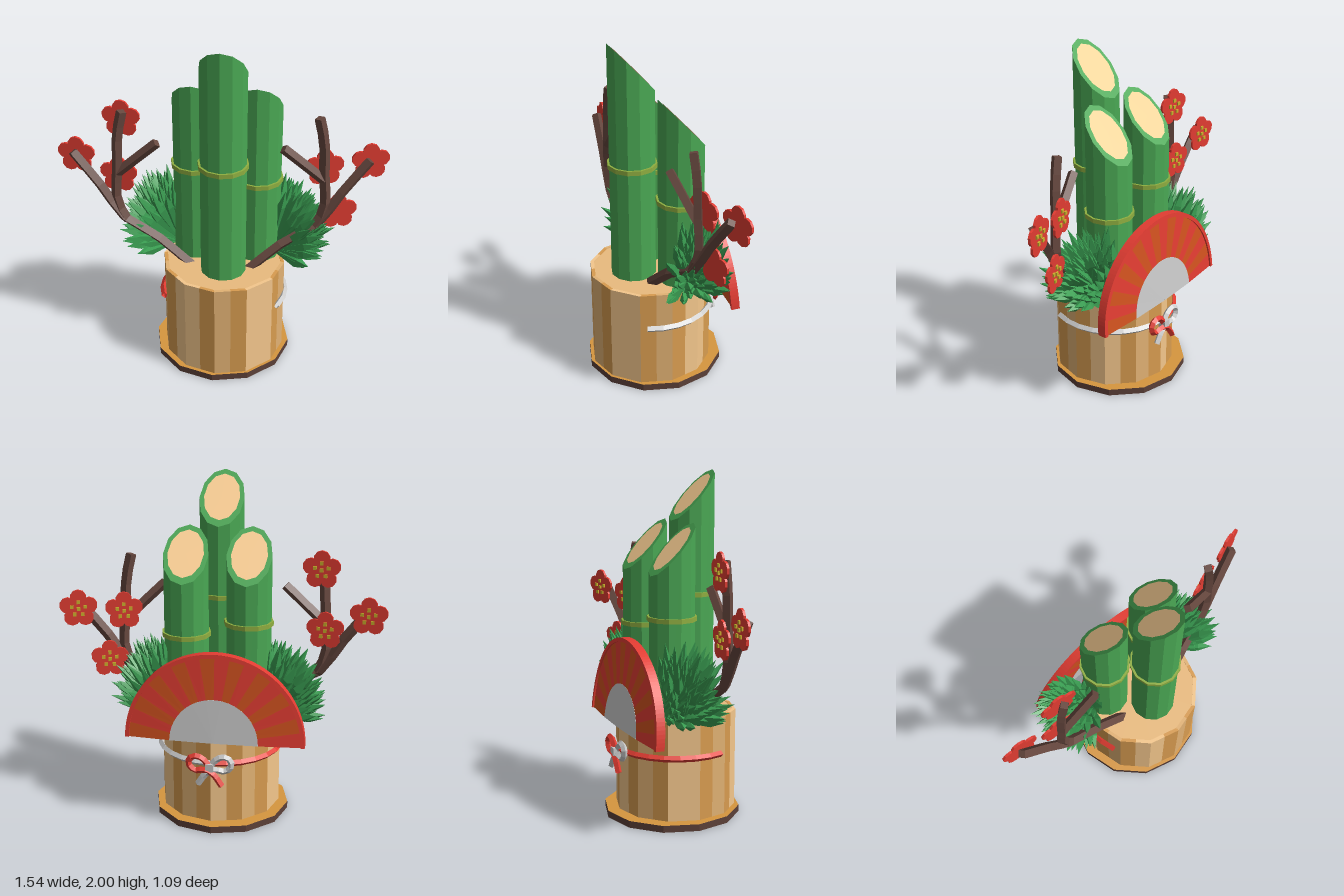
import * as THREE from 'three';
import { mergeGeometries } from 'three/addons/utils/BufferGeometryUtils.js';

const mat = (color) => new THREE.MeshStandardMaterial({ color, flatShading: true, side: THREE.DoubleSide });
const M = {
  bamboo: mat(0x4aa854), node: mat(0x8fae40), pith: mat(0xffd296), pine: mat(0x3a9e52),
  bark: mat(0x67483f), woodTop: mat(0xeabb7e), woodA: mat(0xf4c78c), woodB: mat(0xd89c50), woodC: mat(0xe2b274),
  baseTop: mat(0xd6963f), baseSide: mat(0x5c4038), red: mat(0xe23c32), orange: mat(0xd2521f),
  grey: mat(0xcccccc), gold: mat(0xccb02c),
};
const V = (x, y, z) => new THREE.Vector3(x, y, z);

function add(parent, name, geo, material, x = 0, y = 0, z = 0) {
  const m = new THREE.Mesh(geo, material);
  m.name = name;
  m.position.set(x, y, z);
  parent.add(m);
  return m;
}

function group(parent, name, x = 0, y = 0, z = 0) {
  const g = new THREE.Group();
  g.name = name;
  g.position.set(x, y, z);
  parent.add(g);
  return g;
}

// Move every vertex by a rule
function warp(geo, rule) {
  const p = geo.attributes.position, v = V(0, 0, 0);
  for (let i = 0; i < p.count; i++) {
    v.fromBufferAttribute(p, i);
    rule(v);
    p.setXYZ(i, v.x, v.y, v.z);
  }
  geo.computeVertexNormals();
  return geo;
}

const tube = (pts, r, segs) => new THREE.TubeGeometry(new THREE.CatmullRomCurve3(pts), segs, r, 4, false);

// Bucket of flat staves
function bucket(g) {
  add(g, 'bucketCore', new THREE.CylinderGeometry(0.345, 0.345, 0.58, 12), M.woodTop, 0, 0.332, 0);
  const R = 0.354, w = R * Math.sin(Math.PI / 12), apothem = R * Math.cos(Math.PI / 12);
  const tones = [M.woodA, M.woodB, M.woodC, M.woodB, M.woodA];
  for (let i = 0; i < 24; i++) {
    const stave = new THREE.BoxGeometry(w, 0.58, 0.02);
    stave.translate(i % 2 ? w / 2 : -w / 2, 0, apothem - 0.01);
    stave.rotateY((Math.floor(i / 2) + 0.5) * Math.PI / 6);
    add(g, 'stave', stave, tones[i % 5], 0, 0.335, 0);
  }
}

// Bamboo stalk with a slanted cut, pale pith and one node ring
function bamboo(g, x, z, top, nodeY) {
  const r = 0.13, slope = 1.1, cut = (vz) => top - slope * (vz + r);
  const stalk = warp(new THREE.CylinderGeometry(r, r, 1, 12), (v) => { v.y = v.y > 0 ? cut(v.z) : 0.6; });
  add(g, 'bambooStalk', stalk, M.bamboo, x, 0, z);
  const pith = new THREE.CircleGeometry(0.104, 12).rotateX(-Math.PI / 2);
  add(g, 'bambooPith', warp(pith, (v) => { v.y = cut(v.z) + 0.005; }), M.pith, x, 0, z);
  add(g, 'bambooNode', new THREE.CylinderGeometry(r + 0.012, r + 0.012, 0.026, 12), M.node, x, nodeY, z);
}

// Pine: tufts of broad tapered needles spreading from a root beside the bamboo
function pine(g, side, z) {
  let seed = side > 0 ? 7 : 23;
  const rnd = () => (seed = (seed * 16807) % 2147483647) / 2147483647;
  rnd();
  const up = V(0, 1, 0), parts = [];
  for (let t = 0; t < 20; t++) {
    const elev = 0.25 + 1.15 * ((t * 0.618) % 1), az = (((t + 0.5) / 20) * 2 - 1) * 0.7;
    const axis = V(side * Math.cos(elev) * Math.cos(az), Math.sin(elev), Math.cos(elev) * Math.sin(az));
    const len = 0.28 + 0.18 * Math.sin(elev);
    for (let n = 0; n < 7; n++) {
      const a = (n / 7) * Math.PI * 2, spread = n ? 0.24 : 0;
      const d = axis.clone().add(V(Math.cos(a) * spread, Math.sin(a) * spread * 0.7, Math.sin(a + 1) * spread)).normalize();
      const l = len * (0.9 + 0.18 * rnd());
      const needle = new THREE.LatheGeometry(
        [new THREE.Vector2(0.004, 0), new THREE.Vector2(0.027, l * 0.75), new THREE.Vector2(0, l)], 4);
      needle.applyQuaternion(new THREE.Quaternion().setFromUnitVectors(up, d));
      parts.push(needle);
    }
  }
  // keep needles above the bucket and behind the fan
  const geo = warp(mergeGeometries(parts), (v) => {
    v.y = Math.max(v.y, 0);
    v.z = Math.min(v.z, 0.245 - z);
  });
  add(g, 'pineNeedles', geo, M.pine, side * 0.275, 0.63, z);
}

// Five-petal blossom with gold stamens
function blossom(g, x, y) {
  const f = group(g, 'blossom', x, y, 0.035);
  const disc = (r) => new THREE.CylinderGeometry(r, r, 0.014, 10).rotateX(Math.PI / 2);
  const stamen = (sx, sy) => add(f, 'stamen', new THREE.BoxGeometry(0.02, 0.02, 0.012), M.gold, sx, sy, 0.01);
  add(f, 'petalCentre', disc(0.05), M.red);
  stamen(0, 0);
  for (let i = 0; i < 5; i++) {
    const a = Math.PI / 2 + (i * Math.PI * 2) / 5, c = Math.cos(a), s = Math.sin(a);
    add(f, 'petal', disc(0.048), M.red, c * 0.064, s * 0.064, 0);
    stamen(c * 0.04, s * 0.04);
  }
}

// Forked branch drawn in its own plane, then turned
function branch(g, side, z, turn, flowers) {
  const b = group(g, side > 0 ? 'leftBranch' : 'rightBranch', 0, 0, z);
  b.rotation.y = turn;
  const limbs = [
    [[0.17, 0.6], [0.39, 0.78], [0.56, 0.87], [0.69, 1.06], [0.845, 1.26]],
    [[0.54, 0.85], [0.6, 0.98], [0.59, 1.2], [0.58, 1.4], [0.55, 1.54]],
    [[0.59, 1.16], [0.47, 1.27], [0.36, 1.37]],
  ];
  limbs.forEach((pts, i) => {
    const path = pts.map(([x, y]) => V(side * x, y, 0));
    add(b, 'branchLimb', tube(path, 0.031 - i * 0.001, 8), M.bark);
    const end = path[path.length - 1], prev = path[path.length - 2];
    const cap = add(b, 'branchEnd', new THREE.CylinderGeometry(0.028, 0.028, 0.012, 4), M.bark, end.x, end.y, end.z);
    cap.quaternion.setFromUnitVectors(V(0, 1, 0), end.clone().sub(prev).normalize());
  });
  flowers.forEach(([x, y]) => blossom(b, side * x, y));
}

// Folding fan: slightly bowed half disc of alternating sectors
function fan(g) {
  const f = group(g, 'fan', 0.005, 0.54, 0.305);
  const bend = (v) => { v.z -= 0.1 * v.x * v.x + 0.1 * v.y; };
  const sector = (name, r0, r1, a0, a1, depth, material) => {
    const s = new THREE.Shape();
    s.absarc(0, 0, r1, a0, a1, false);
    s.absarc(0, 0, r0, a1, a0, true);
    const geo = new THREE.ExtrudeGeometry(s, { depth, bevelEnabled: false, curveSegments: 2 });
    geo.translate(0, 0, (0.03 - depth) / 2);
    add(f, name, warp(geo, bend), material);
  };
  const n = 18, step = Math.PI / n;
  for (let i = 0; i < n; i++) {
    const a = i * step;
    sector('fanFold', 0.255, 0.5, a, a + step, 0.03, i % 2 ? M.orange : M.red);
    sector('fanHeart', 0.004, 0.255, a, a + step, 0.032, M.grey);
    sector('fanRim', 0.495, 0.518, a, a + step, 0.05, M.red);
  }
}

// Two-colour cord round the bucket, tied in a bow
function cord(g) {
  for (const [side, material] of [[1, M.red], [-1, M.grey]]) {
    const wrap = [];
    for (let i = 0; i <= 8; i++) {
      const a = side * (i / 8) * 1.98;
      wrap.push(V(Math.sin(a) * 0.358, 0.415, Math.cos(a) * 0.358));
    }
    add(g, 'cord', tube(wrap, 0.019, 8), material);
    const s = -side;
    const loop = [[0, 0.4], [0.05, 0.455], [0.1, 0.46], [0.125, 0.42], [0.09, 0.375], [0.03, 0.385], [-0.02, 0.36], [-0.07, 0.29]];
    const bow = loop.map(([x, y], i) => V(s * x, y, 0.372 + (i > 4 ? 0.008 : 0) + side * 0.004));
    add(g, 'bowLoop', tube(bow, 0.019, 16), material);
  }
  add(g, 'bowKnot', new THREE.BoxGeometry(0.045, 0.045, 0.045), M.grey, 0, 0.4, 0.375);
}

export function createModel() {
  const root = new THREE.Group();
  root.name = 'newYearPlanter';
  const g = group(root, 'arrangement', 0.055, 0, 0.06);
  g.rotation.y = Math.PI + 0.515;

  add(g, 'plinth', new THREE.CylinderGeometry(0.4, 0.4, 0.04, 12), [M.baseSide, M.baseTop, M.baseSide], 0, 0.025, 0);
  const tub = group(g, 'bucket', -0.012, 0, -0.028);
  bucket(tub);
  cord(tub);
  bamboo(g, 0.166, 0.072, 1.715, 1.19);
  bamboo(g, -0.192, 0.09, 1.715, 1.115);
  bamboo(g, -0.024, -0.133, 2.0, 1.3);
  pine(g, 1, 0.11);
  pine(g, -1, 0.095);
  branch(g, 1, -0.1, -0.06, [[0.565, 1.485], [0.84, 1.23], [0.595, 1.13]]);
  branch(g, -1, -0.14, 0.29, [[0.86, 1.24], [0.6, 1.22], [0.69, 0.93]]);
  fan(g);
  return root;
}
